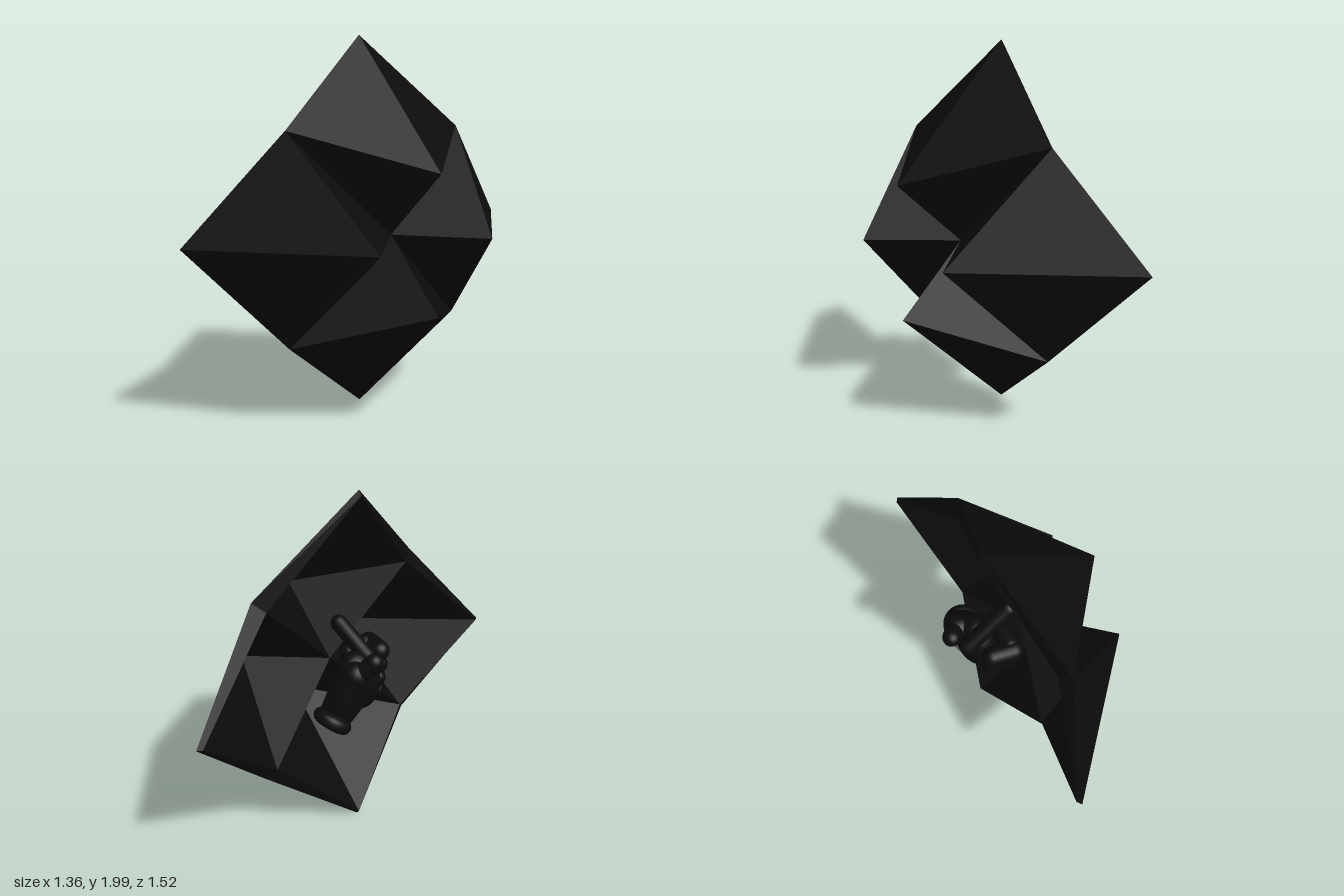
import * as THREE from 'three';

const V = (x, y, z) => new THREE.Vector3(x, y, z);

// One folded layer of the star: four outer tips, four notches, four front spikes, a centre
function layer(tipR, tipZ, notch, notchZ, spikeR, spikeZ, centreZ) {
  const ring = (r, z, offset) => [0, 1, 2, 3].map((k) => {
    const a = k * Math.PI / 2 + offset;
    return V(Math.cos(a) * r, Math.sin(a) * r, z);
  });
  return {
    tip: ring(tipR, tipZ, 0),
    notch: ring(notch * Math.SQRT2, notchZ, Math.PI / 4),
    spike: ring(spikeR, spikeZ, 0),
    centre: V(0, 0, centreZ),
  };
}

function shieldGeometry() {
  const front = layer(0.995, 0, 0.53, 0.165, 0.34, 0.652, 0.28);
  const back = layer(0.97, -0.018, 0.475, 0.125, 0.35, 0.58, 0.23);
  const points = [];
  const tri = (a, b, c) => points.push(a, b, c);
  for (let k = 0; k < 4; k++) {
    const prev = (k + 3) % 4;
    for (const s of [front, back]) {
      const face = s === front ? tri : (a, b, c) => tri(a, c, b);
      const t = s.tip[k], p = s.spike[k], l = s.notch[k], r = s.notch[prev];
      face(t, l, p);
      face(t, p, r);
      face(p, l, s.centre);
      face(p, s.centre, r);
    }
    // rim joining both layers
    const rim = (a, b, b2, a2) => { tri(a, a2, b2); tri(a, b2, b); };
    rim(front.tip[k], front.notch[k], back.notch[k], back.tip[k]);
    rim(front.notch[prev], front.tip[k], back.tip[k], back.notch[prev]);
  }
  const g = new THREE.BufferGeometry().setFromPoints(points);
  g.computeVertexNormals();
  return g;
}

export function createModel() {
  const model = new THREE.Group();
  model.name = 'starShieldWithHand';
  const color = 0x0b0b0b;
  const smooth = new THREE.MeshStandardMaterial({ color });
  const flat = new THREE.MeshStandardMaterial({ color, flatShading: true });

  const add = (parent, name, geometry, material = smooth) => {
    const mesh = new THREE.Mesh(geometry, material);
    mesh.name = name;
    parent.add(mesh);
    return mesh;
  };

  add(model, 'shield', shieldGeometry(), flat);

  // Hand behind the shield
  const hand = new THREE.Group();
  hand.name = 'hand';
  model.add(hand);

  const up = V(0, 1, 0);
  const aim = (mesh, a, b) => {
    mesh.position.copy(a).lerp(b, 0.5);
    mesh.quaternion.setFromUnitVectors(up, b.clone().sub(a).normalize());
    return mesh;
  };
  const limb = (name, a, b, r) =>
    aim(add(hand, name, new THREE.CapsuleGeometry(r, a.distanceTo(b), 8, 20)), a, b);

  // palm
  const palm = add(hand, 'palm', new THREE.SphereGeometry(1, 32, 20));
  palm.scale.set(0.13, 0.18, 0.11);
  palm.position.set(0.02, -0.02, -0.02);
  palm.rotation.z = -0.25;

  // wrist and rolled cuff
  const cuffEnd = V(0.2, -0.2, -0.02), palmEnd = V(0.06, -0.03, -0.03);
  const wrist = add(hand, 'wrist',
    new THREE.CylinderGeometry(0.115, 0.085, cuffEnd.distanceTo(palmEnd), 28));
  aim(wrist, cuffEnd, palmEnd);
  const cuff = add(hand, 'cuff', new THREE.TorusGeometry(0.07, 0.04, 14, 28));
  cuff.position.copy(cuffEnd);
  cuff.quaternion.setFromUnitVectors(V(0, 0, 1), palmEnd.clone().sub(cuffEnd).normalize());

  // heel of the thumb, thumb and raised finger
  limb('thumbHeel', V(0.17, -0.08, -0.06), V(0.1, 0.07, -0.09), 0.075);
  limb('thumb', V(0.11, 0.06, -0.1), V(0.035, 0.155, -0.16), 0.048);
  limb('raisedFinger', V(-0.025, 0.09, -0.1), V(0, 0.25, 0.15), 0.045);

  // curled fingers
  [0.1, 0.02, -0.06, -0.135].forEach((y, i) => {
    const r = 0.055 - i * 0.003;
    limb('curledFinger' + (i + 1), V(-0.14 + i * 0.008, y, -0.02), V(-0.165 + i * 0.008, y, 0.09), r);
    limb('fingerBase' + (i + 1), V(-0.13 + i * 0.008, y, 0.09), V(-0.02, y * 0.9, 0.09), r);
  });

  // Turn the whole piece to its resting angle
  model.rotation.y = 0.868;
  model.position.set(-0.04, 1, 0);
  const root = new THREE.Group();
  root.name = 'model';
  root.add(model);
  return root;
}
